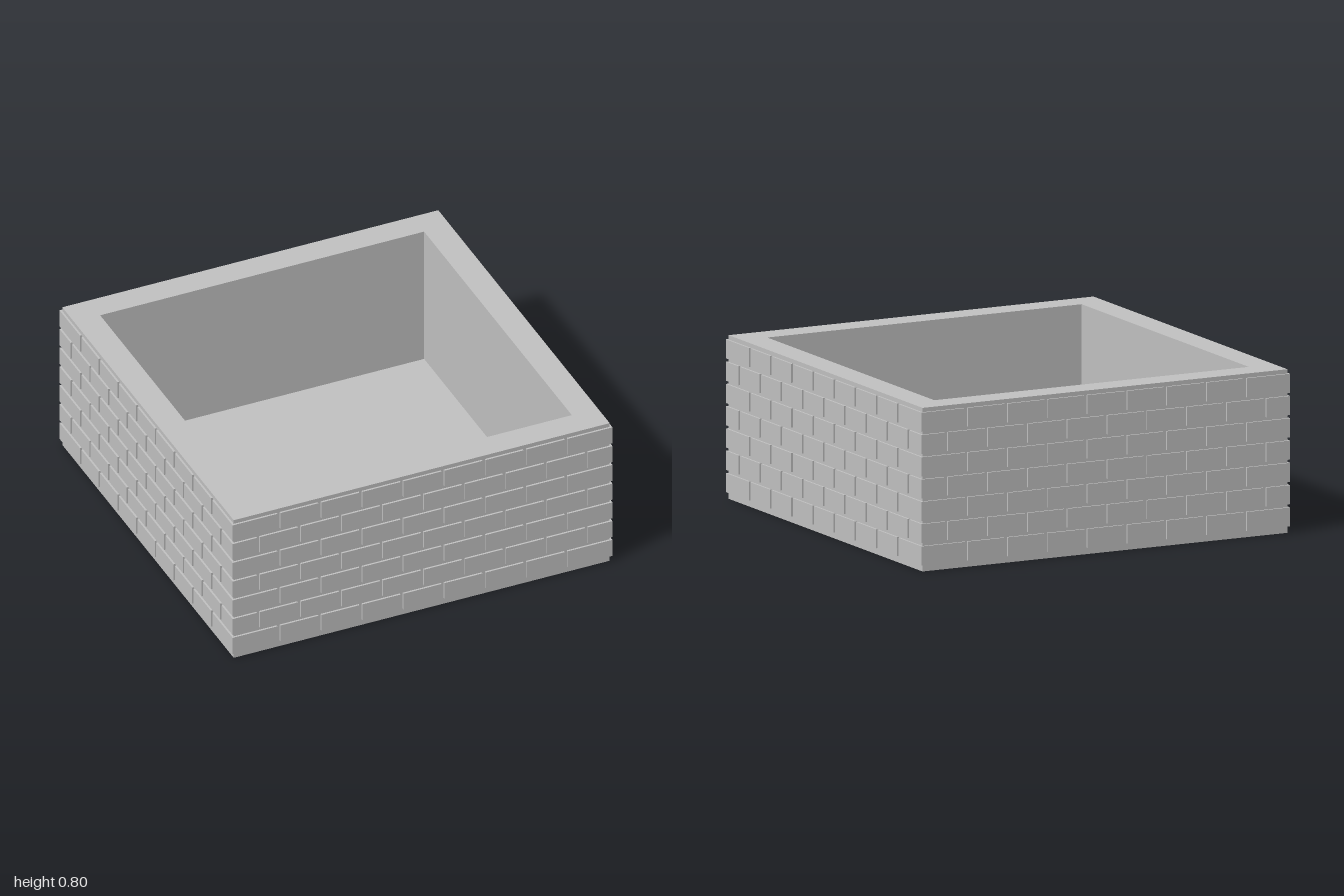
import * as THREE from 'three';

const OUT = 1;          // outer face of the bricks
const WALL = 0.99;      // mortar face behind the bricks
const INNER = 0.853;    // inside face of the walls
const HEIGHT = 0.8;
const FLOOR = 0.06;
const ROWS = 7, ROW_PITCH = 0.109, ROW_BASE = 0.032, BRICK_H = 0.093;
const PITCH = 0.216, BRICK_W = 0.2, GAP = PITCH - BRICK_W;

// Square open tub: a four-sided lathe around the y axis
function tubGeometry() {
  const profile = [[0, 0], [WALL, 0], [WALL, HEIGHT], [INNER, HEIGHT], [INNER, FLOOR], [0, FLOOR]]
    .map(([half, y]) => new THREE.Vector2(half * Math.SQRT2, y));
  const geometry = new THREE.LatheGeometry(profile, 4, Math.PI / 4).toNonIndexed();
  geometry.computeVertexNormals();
  return geometry;
}

// L-shaped brick wrapping a corner, with its ends at distance e from the middle
function cornerGeometry(e) {
  const outline = [[e, OUT], [e, WALL], [WALL, WALL], [WALL, e], [OUT, e], [OUT, OUT]];
  const shape = new THREE.Shape(outline.map(([x, y]) => new THREE.Vector2(x, y)));
  const geometry = new THREE.ExtrudeGeometry(shape, { depth: BRICK_H, bevelEnabled: false });
  return geometry.rotateX(-Math.PI / 2);
}

export function createModel() {
  const model = new THREE.Group();
  model.name = 'brickPlanter';
  const stone = new THREE.MeshStandardMaterial({ color: 0xc0c0c0 });
  stone.name = 'grey stone';

  const add = (parent, name, geometry, x = 0, y = 0, z = 0) => {
    const mesh = new THREE.Mesh(geometry, stone);
    mesh.name = name;
    mesh.position.set(x, y, z);
    parent.add(mesh);
  };

  add(model, 'tub', tubGeometry());

  // Rows alternate between seven and eight whole bricks
  const brick = new THREE.BoxGeometry(BRICK_W, BRICK_H, OUT - WALL);
  const counts = [7, 8];
  const corners = counts.map(n => cornerGeometry(n * PITCH / 2 + GAP / 2));

  // The four sides are the same brickwork turned by quarter turns
  ['front', 'left', 'back', 'right'].forEach((side, s) => {
    const wall = new THREE.Group();
    wall.name = side + 'Brickwork';
    wall.rotation.y = s * Math.PI / 2;
    for (let row = 0; row < ROWS; row++) {
      const n = counts[row % 2];
      const y = ROW_BASE + row * ROW_PITCH;
      for (let i = 0; i < n; i++) {
        add(wall, 'brick', brick, (i - (n - 1) / 2) * PITCH, y + BRICK_H / 2, (OUT + WALL) / 2);
      }
      add(wall, 'cornerBrick', corners[row % 2], 0, y, 0);
    }
    model.add(wall);
  });

  return model;
}
